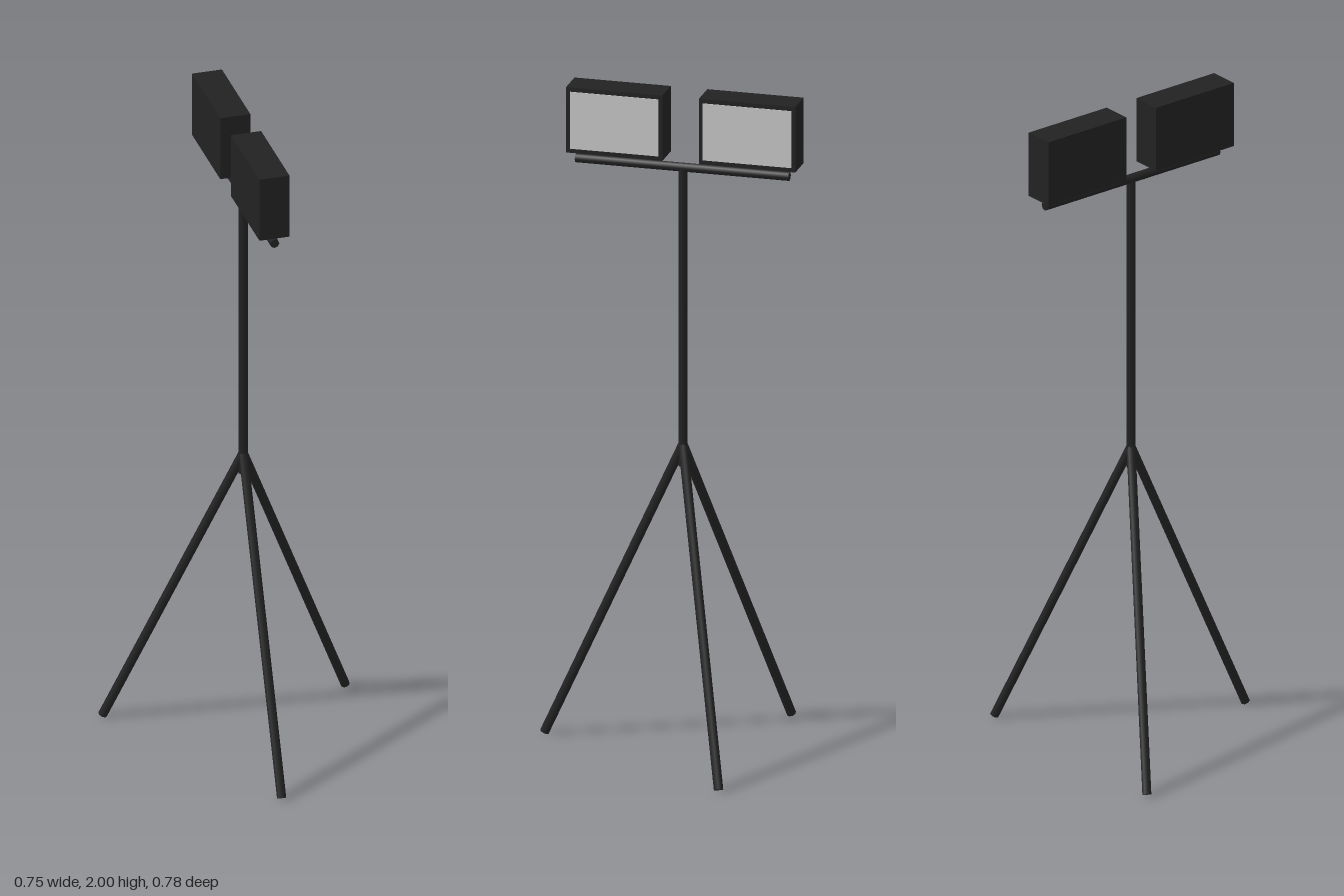
import * as THREE from 'three';

export function createModel() {
  const model = new THREE.Group();
  const black = new THREE.MeshStandardMaterial({ color: 0x222222 });
  black.name = 'matte black';
  const lens = new THREE.MeshStandardMaterial({ color: 0xc8c8c8 });
  lens.name = 'pale grey lens';

  const cx = -0.008, cz = -0.042, r = 0.0138;

  const add = (name, geometry, material, x, y, z) => {
    const mesh = new THREE.Mesh(geometry, material);
    mesh.name = name;
    mesh.position.set(x, y, z);
    model.add(mesh);
    return mesh;
  };

  // Straight round tube between two points
  const rod = (name, from, to) => {
    const a = new THREE.Vector3(...from), b = new THREE.Vector3(...to);
    const dir = b.clone().sub(a);
    const mid = a.clone().add(b).multiplyScalar(0.5);
    const mesh = add(name, new THREE.CylinderGeometry(r, r, dir.length(), 8), black, mid.x, mid.y, mid.z);
    mesh.quaternion.setFromUnitVectors(new THREE.Vector3(0, 1, 0), dir.normalize());
  };

  // Stand: pole, crossbar and three splayed legs
  rod('pole', [cx, 0.86, cz], [cx, 1.772, cz]);
  rod('crossbar', [cx, 1.773, -0.363], [cx, 1.773, 0.28]);
  const feet = {
    frontLeg: [-0.016, 0.006, 0.377],
    backLeftLeg: [0.363, 0.006, -0.252],
    backRightLeg: [-0.366, 0.006, -0.27],
  };
  for (const [name, foot] of Object.entries(feet)) rod(name, [cx, 0.925, cz], foot);

  // Two lamp housings, each with a pale lens facing +x
  for (const [side, z] of [['front', 0.154], ['back', -0.246]]) {
    add(side + 'LampHousing', new THREE.BoxGeometry(0.091, 0.2, 0.29), black, -0.0145, 1.9, z);
    add(side + 'LampLens', new THREE.BoxGeometry(0.004, 0.174, 0.266), lens, 0.031, 1.9, z);
  }
  return model;
}
